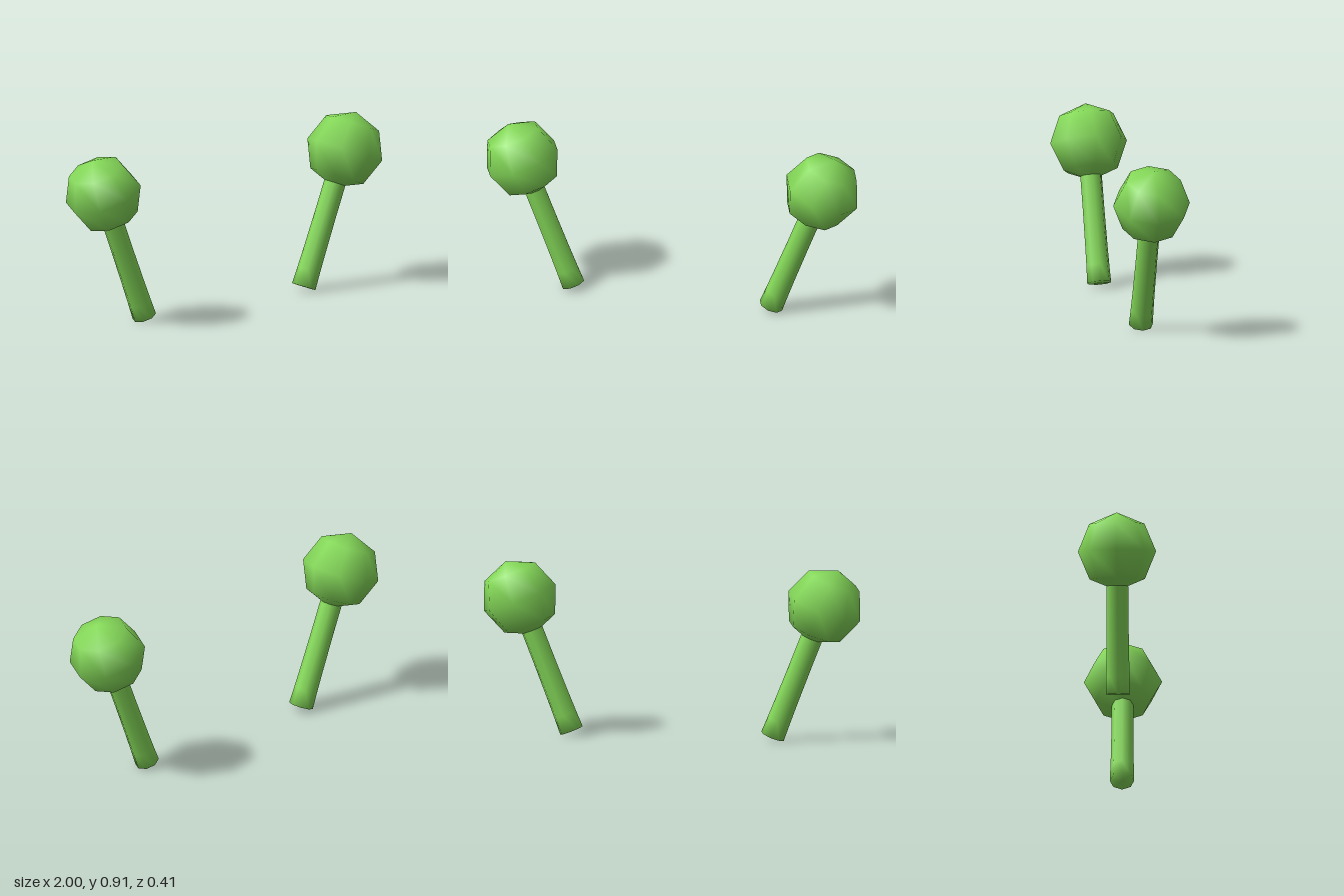
import * as THREE from 'three';

const TILT = THREE.MathUtils.degToRad(21.5);
const LENGTH = 0.75; // foot of the stalk to the centre of the ball

export function createModel() {
  const model = new THREE.Group();
  model.name = 'antennae';
  const green = new THREE.MeshStandardMaterial({ color: 0x84d858 });
  green.name = 'leaf green';

  // Low-poly ball, its pole along the stalk
  const ballGeometry = new THREE.SphereGeometry(0.205, 8, 4);

  // Eight-sided stalk, flared a little at the closed foot
  const profile = [
    [0, 0], [0.064, 0], [0.0615, 0.09], [0.0595, 0.2], [0.0577, 0.4], [0.0575, 0.68],
  ].map(([r, y]) => new THREE.Vector2(r, y - LENGTH));
  const stalkGeometry = new THREE.LatheGeometry(profile, 8);

  // Mirrored pair leaning outwards
  for (const [side, label] of [[1, 'left'], [-1, 'right']]) {
    const antenna = new THREE.Group();
    antenna.name = label + 'Antenna';
    antenna.position.set(side * 0.8093, 0.721, 0);
    antenna.rotation.z = -side * TILT;

    const ball = new THREE.Mesh(ballGeometry, green);
    ball.name = label + 'Ball';
    const stalk = new THREE.Mesh(stalkGeometry, green);
    stalk.name = label + 'Stalk';
    antenna.add(ball, stalk);
    model.add(antenna);
  }
  return model;
}
